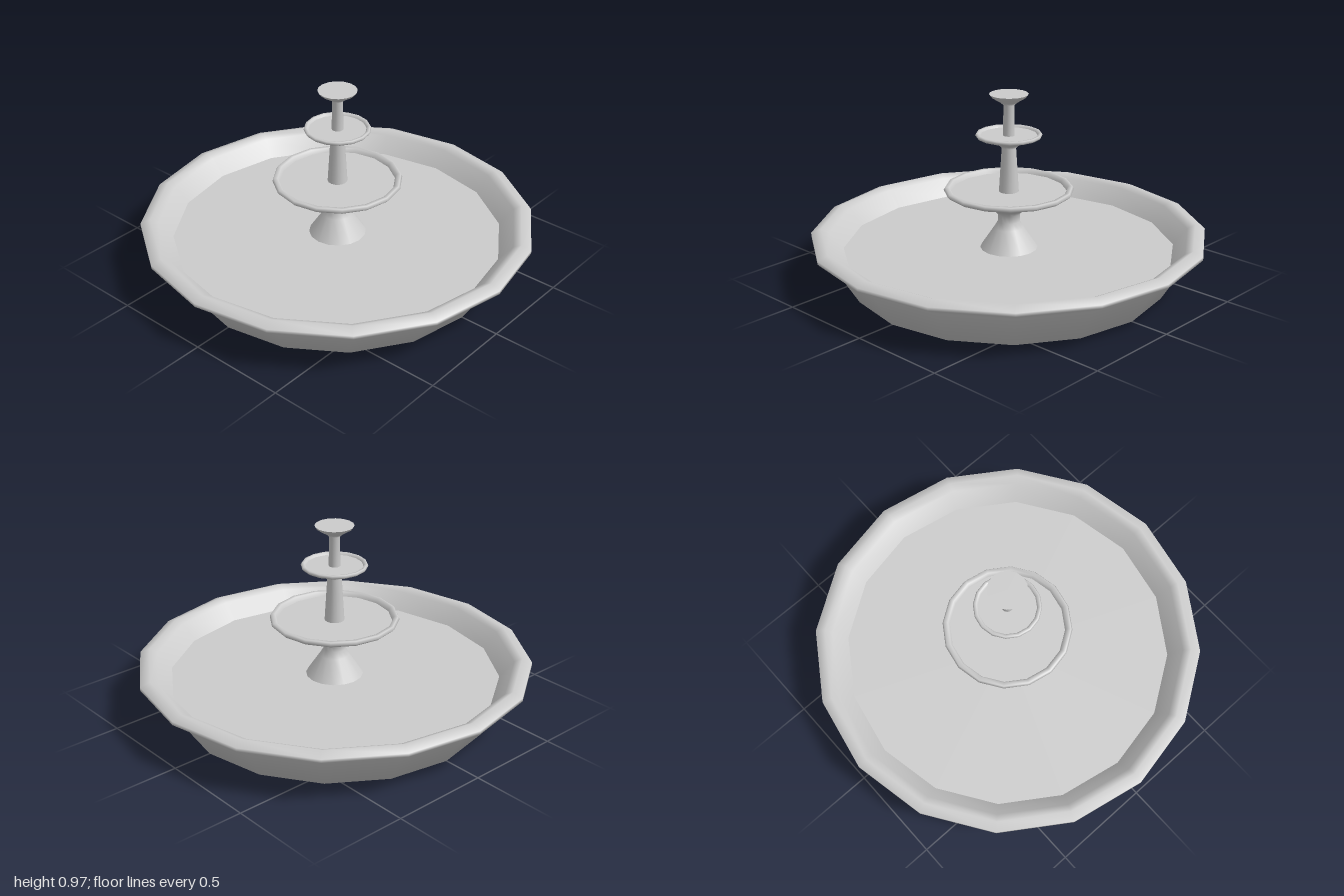
import * as THREE from 'three';

const SIDES = 16;
const material = new THREE.MeshStandardMaterial({ color: 0xcccccc });

// Turned part from [radius, height] pairs, listed from the bottom outside to the top inside
function turned(name, profile) {
  const points = profile.map(([r, y]) => new THREE.Vector2(r, y));
  const mesh = new THREE.Mesh(new THREE.LatheGeometry(points, SIDES), material);
  mesh.name = name;
  return mesh;
}

// Flat disc facing up, its corners aligned with the turned parts
function disc(name, radius, y) {
  const geometry = new THREE.CircleGeometry(radius, SIDES).rotateX(-Math.PI / 2);
  const mesh = new THREE.Mesh(geometry, material);
  mesh.name = name;
  mesh.position.y = y;
  return mesh;
}

export function createModel() {
  const fountain = new THREE.Group();
  fountain.name = 'fountain';

  // Each tier is a smooth shell with a flat water surface inside its rim
  const tiers = [
    {
      name: 'basin',
      shell: [[0, 0], [0.8, 0], [0.91, 0.18], [1, 0.232], [1, 0.25], [0.95, 0.27], [0.91, 0.25], [0.84, 0.165]],
      water: [0.84, 0.165],
    },
    {
      name: 'lowerTier',
      shell: [
        [0.146, 0.165], [0.075, 0.272], [0.056, 0.305], [0.056, 0.345], [0.08, 0.368], [0.225, 0.435],
        [0.315, 0.46], [0.327, 0.472], [0.32, 0.486], [0.3, 0.486], [0.29, 0.464],
      ],
      water: [0.29, 0.464],
    },
    {
      name: 'middleTier',
      shell: [
        [0.05, 0.464], [0.036, 0.69], [0.05, 0.706], [0.11, 0.735], [0.16, 0.748],
        [0.167, 0.757], [0.162, 0.766], [0.15, 0.766], [0.143, 0.755],
      ],
      water: [0.143, 0.755],
    },
    {
      name: 'topTier',
      shell: [[0.029, 0.755], [0.027, 0.91], [0.045, 0.925], [0.088, 0.952], [0.098, 0.966]],
      water: [0.098, 0.966],
    },
  ];

  for (const { name, shell, water } of tiers) {
    const tier = new THREE.Group();
    tier.name = name;
    tier.add(turned(name + 'Shell', shell), disc(name + 'Water', ...water));
    fountain.add(tier);
  }
  return fountain;
}
